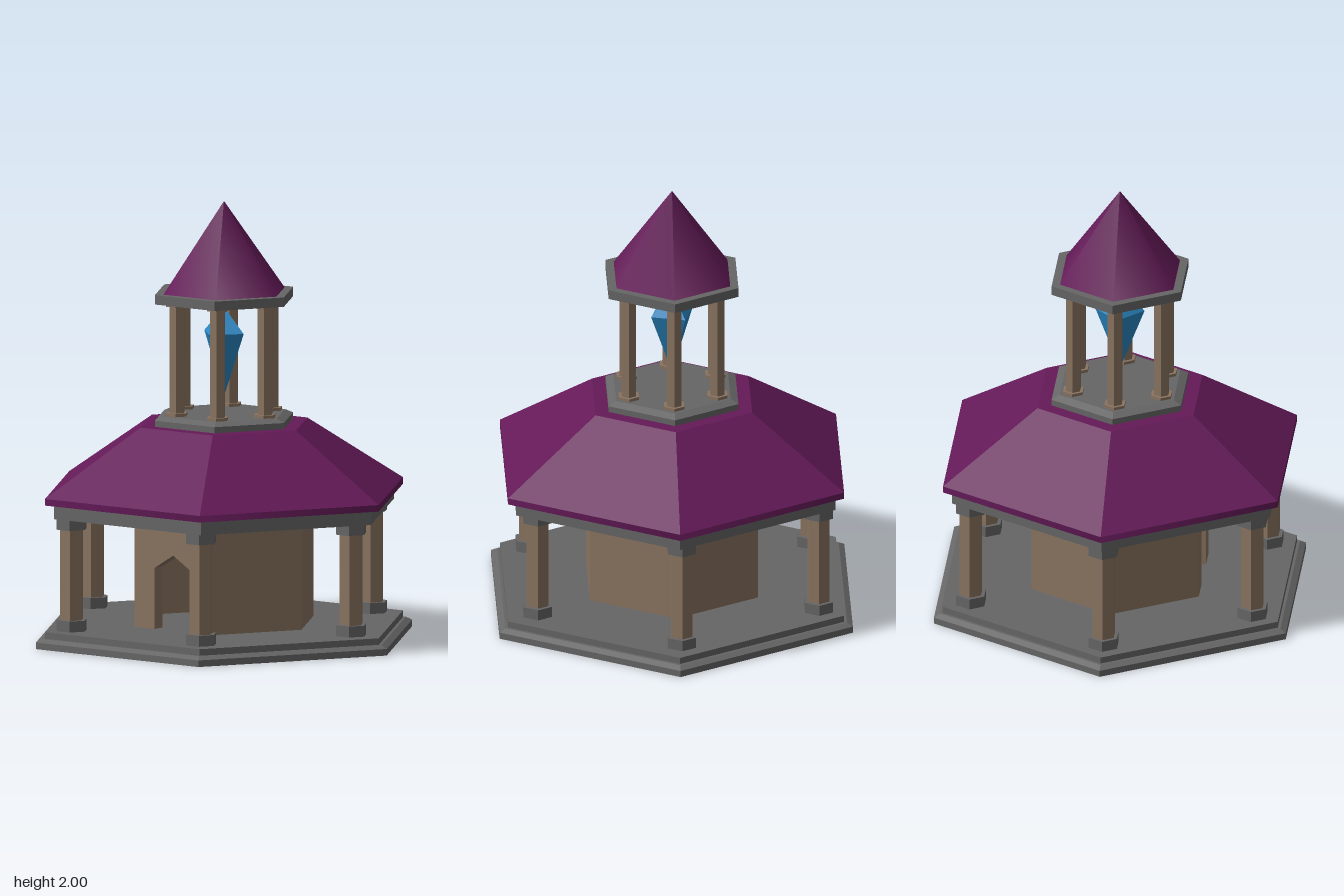
import * as THREE from 'three';

const mat = (color) => new THREE.MeshStandardMaterial({ color });
const stone = mat(0x666666), timber = mat(0x8a7461), tile = mat(0x641a58), gem = mat(0x2a88c4);
stone.flatShading = timber.flatShading = gem.flatShading = true;

// Tapered prism from y0 to y1, with corners on the x axis
function prism(name, rBottom, rTop, y0, y1, material, sides = 6) {
  const geo = new THREE.CylinderGeometry(rTop, rBottom, y1 - y0, sides);
  geo.rotateY(Math.PI / 2);
  geo.translate(0, (y0 + y1) / 2, 0);
  const mesh = new THREE.Mesh(geo, material);
  mesh.name = name;
  return mesh;
}

// Column with a stone or timber foot and capital
function column(name, x, z, y0, y1, rShaft, rBlock, blockH, blockMaterial) {
  const g = new THREE.Group();
  g.name = name;
  g.add(
    prism('columnFoot', rBlock, rBlock, y0, y0 + blockH, blockMaterial),
    prism('columnShaft', rShaft, rShaft, y0 + blockH, y1 - blockH, timber),
    prism('columnCapital', rBlock, rBlock, y1 - blockH, y1, blockMaterial)
  );
  g.position.set(x, 0, z);
  return g;
}

// One side of the inner chamber; the front one has a pointed doorway
function wallPanel(hasDoor) {
  const w = 0.22, h = 0.515, t = 0.06;
  const pts = hasDoor
    ? [[-w, 0], [-0.105, 0], [-0.105, 0.28], [0, 0.345], [0.105, 0.28], [0.105, 0], [w, 0], [w, h], [-w, h]]
    : [[-w, 0], [w, 0], [w, h], [-w, h]];
  const shape = new THREE.Shape(pts.map(([x, y]) => new THREE.Vector2(x, y)));
  const geo = new THREE.ExtrudeGeometry(shape, { depth: t, bevelEnabled: false });
  geo.translate(0, 0.075, 0.381 - t);
  const mesh = new THREE.Mesh(geo, timber);
  mesh.name = hasDoor ? 'doorwayWall' : 'chamberWall';
  return mesh;
}

export function createModel() {
  const model = new THREE.Group();
  model.name = 'hexagonalPavilion';

  // Stepped plinth
  model.add(
    prism('plinthLower', 0.925, 0.925, 0, 0.03, stone),
    prism('plinthBevel', 0.925, 0.895, 0.03, 0.045, stone),
    prism('plinthUpper', 0.88, 0.88, 0.045, 0.075, stone)
  );

  // Inner chamber
  const chamber = new THREE.Group();
  chamber.name = 'chamber';
  for (let i = 0; i < 6; i++) {
    const panel = wallPanel(i === 0);
    panel.rotation.y = (i * Math.PI) / 3;
    chamber.add(panel);
  }
  model.add(chamber);

  // Outer colonnade, set very slightly off centre
  for (let i = 0; i < 6; i++) {
    const a = (i * Math.PI) / 3;
    const x = Math.cos(a) * 0.735 - 0.013, z = Math.sin(a) * 0.74;
    model.add(column('outerColumn', x, z, 0.075, 0.59, 0.056, 0.074, 0.05, stone));
  }

  // Beam and main roof
  model.add(prism('beam', 0.836, 0.836, 0.59, 0.655, stone));
  model.add(prism('roofEave', 0.88, 0.88, 0.655, 0.685, tile));
  const slope = prism('mainRoof', 0.88, 0.41, 0.685, 0.985, tile.clone());
  slope.material.flatShading = true;
  model.add(slope);

  // Tower floor, columns and top slab
  model.add(
    prism('towerFloor', 0.34, 0.34, 0.985, 1.013, stone),
    prism('towerFloorBevel', 0.34, 0.3, 1.013, 1.03, stone)
  );
  for (let i = 0; i < 6; i++) {
    const a = (i * Math.PI) / 3;
    model.add(column('towerColumn', Math.cos(a) * 0.232, Math.sin(a) * 0.232,
      1.03, 1.545, 0.037, 0.052, 0.014, timber));
  }
  model.add(prism('towerSlab', 0.34, 0.34, 1.545, 1.588, stone));

  // Smooth-shaded spire
  model.add(prism('spire', 0.298, 0, 1.588, 2, tile));

  // Floating crystal
  const crystal = new THREE.Group();
  crystal.name = 'crystal';
  crystal.add(
    prism('crystalTop', 0.112, 0, 1.4, 1.515, gem, 4),
    prism('crystalPoint', 0, 0.112, 1.105, 1.4, gem, 4)
  );
  model.add(crystal);

  return model;
}
